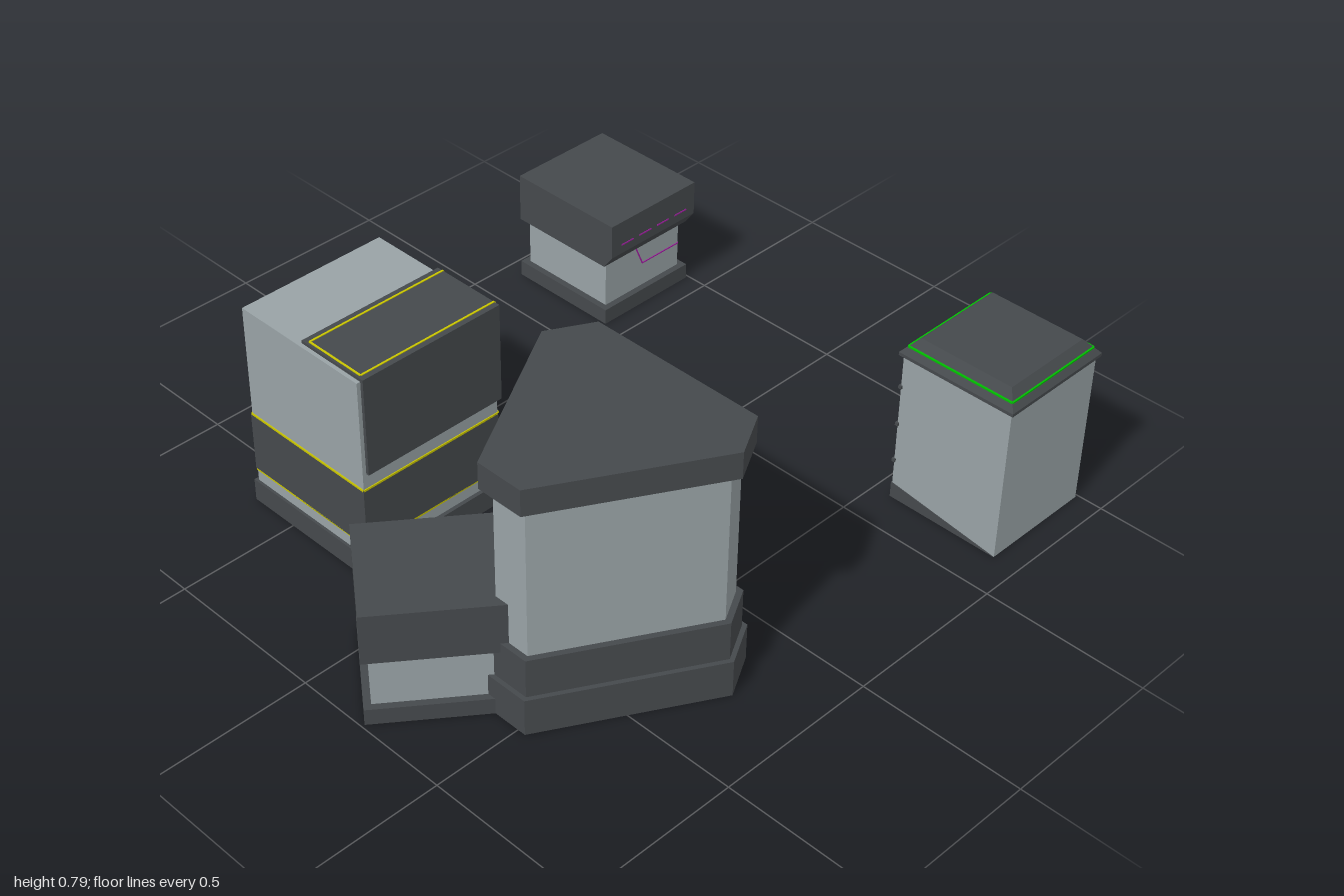
import * as THREE from 'three';

const LIGHT = 0x98a2a5, DARK = 0x45494c, YELLOW = 0xc8c400, CYAN = 0x00b4b4, GREEN = 0x00c000, MAGENTA = 0xa020a0;
const mats = {};
const mat = (c) => (mats[c] ??= new THREE.MeshStandardMaterial({ color: c }));

function add(group, name, geometry, color) {
  const mesh = new THREE.Mesh(geometry, mat(color));
  mesh.name = name;
  group.add(mesh);
  return mesh;
}

// Box given by its limits
function block(group, name, [x0, x1], [y0, y1], [z0, z1], color) {
  const mesh = add(group, name, new THREE.BoxGeometry(x1 - x0, y1 - y0, z1 - z0), color);
  mesh.position.set((x0 + x1) / 2, (y0 + y1) / 2, (z0 + z1) / 2);
  return mesh;
}

// Upright prism over a plan outline of [x, z] points
function prism(group, name, plan, y0, y1, color) {
  const shape = new THREE.Shape(plan.map(([x, z]) => new THREE.Vector2(x, -z)));
  const geo = new THREE.ExtrudeGeometry(shape, { depth: y1 - y0, bevelEnabled: false });
  geo.rotateX(-Math.PI / 2).translate(0, y0, 0);
  return add(group, name, geo, color);
}

// Prism with an [x, y] outline, running from z0 to z1
function slab(group, name, outline, z0, z1, color) {
  const shape = new THREE.Shape(outline.map(([x, y]) => new THREE.Vector2(x, y)));
  const geo = new THREE.ExtrudeGeometry(shape, { depth: z1 - z0, bevelEnabled: false });
  geo.translate(0, 0, z0);
  return add(group, name, geo, color);
}

// Thin glowing strip along a path
function strip(group, name, path, color, w = 0.006) {
  for (let i = 1; i < path.length; i++) {
    const a = new THREE.Vector3(...path[i - 1]), b = new THREE.Vector3(...path[i]);
    const mesh = add(group, name, new THREE.BoxGeometry(w, w, a.distanceTo(b)), color);
    mesh.position.lerpVectors(a, b, 0.5);
    mesh.lookAt(b);
  }
}

// Moves every edge of a plan outline inwards by d
function inset(plan, d) {
  const n = plan.length;
  const normal = (i) => {
    const [a, b] = [plan[i % n], plan[(i + 1) % n]];
    const l = Math.hypot(b[0] - a[0], b[1] - a[1]);
    return [(a[1] - b[1]) / l, (b[0] - a[0]) / l];
  };
  return plan.map(([x, z], i) => {
    const p = normal(i + n - 1), q = normal(i);
    const k = d / (1 + p[0] * q[0] + p[1] * q[1]);
    return [x + k * (p[0] + q[0]), z + k * (p[1] + q[1])];
  });
}

// Box building with a banded wall and a wrapped roof panel
function bandedBuilding() {
  const g = new THREE.Group();
  g.name = 'bandedBuilding';
  const xs = [-0.65, -0.19], zs = [0.15, 0.622];
  block(g, 'base', [-0.66, -0.178], [0, 0.07], [0.14, 0.63], DARK);
  block(g, 'body', xs, [0, 0.648], zs, LIGHT);
  block(g, 'roofPanel', [-0.42, -0.18], [0.35, 0.657], [0.142, 0.61], DARK);
  const e = 0.003, band = [0.11, 0.3];
  block(g, 'frontBand', [xs[0] - e, xs[1] + e], band, [zs[1], zs[1] + e], DARK);
  block(g, 'rightBand', [xs[0] - e, xs[0]], band, zs, DARK);
  block(g, 'leftBand', [xs[1], xs[1] + e], band, zs, DARK);
  // stepped band on the back
  const upper = [[-0.19, 0.3], [-0.31, 0.3], [-0.35, 0.22], [-0.48, 0.22], [-0.52, 0.3], [-0.65, 0.3]];
  const lower = [[-0.65, 0.11], [-0.48, 0.165], [-0.36, 0.165], [-0.19, 0.11]];
  slab(g, 'backBand', [...upper, ...lower], zs[0] - e, zs[0], DARK);
  for (const edge of [upper, lower]) strip(g, 'backTrim', edge.map(([x, y]) => [x, y, zs[0] - e]), YELLOW);
  for (const y of band) {
    strip(g, 'bandTrim', [[xs[0], y, zs[0]], [xs[0], y, zs[1]], [xs[1], y, zs[1]], [xs[1], y, zs[0]]], YELLOW);
  }
  strip(g, 'panelTrim', [[-0.4, 0.39, 0.142], [-0.4, 0.656, 0.142], [-0.4, 0.656, 0.6],
    [-0.2, 0.656, 0.6], [-0.2, 0.656, 0.142], [-0.2, 0.37, 0.142], [-0.37, 0.37, 0.142], [-0.4, 0.39, 0.142]], YELLOW);
  return g;
}

// Tower on a triangle with cut corners
function cornerTower() {
  const g = new THREE.Group();
  g.name = 'cornerTower';
  const plan = [[0.18, 0.135], [0.72, 0.135], [0.79, 0.26], [0.525, 0.73], [0.38, 0.73], [0.11, 0.265]];
  prism(g, 'lowerBase', plan, 0, 0.115, DARK);
  prism(g, 'upperBase', inset(plan, 0.013), 0.115, 0.235, DARK);
  prism(g, 'body', inset(plan, 0.03), 0.235, 0.705, LIGHT);
  prism(g, 'cap', plan, 0.705, 0.785, DARK);
  // circuit lines on the back, with one turning the corner
  const z = 0.163;
  strip(g, 'circuitLine', [[0.33, 0.66, z], [0.33, 0.47, z], [0.49, 0.38, z], [0.49, 0.28, z]], CYAN);
  strip(g, 'circuitLine', [[0.33, 0.47, z], [0.21, 0.36, z]], CYAN);
  strip(g, 'circuitLine', [[0.3, 0.33, z], [0.2, 0.33, z], [0.16, 0.33, 0.235]], CYAN);
  strip(g, 'circuitLine', [[0.14, 0.44, 0.268], [0.2, 0.44, 0.368]], CYAN);
  return g;
}

// Low building whose cap overhangs on its +x side
function lowBuilding(name, x, z, turn) {
  const g = new THREE.Group();
  g.name = name;
  const d = 0.175;
  block(g, 'base', [-0.197, 0.172], [0, 0.05], [-d, d], DARK);
  block(g, 'body', [-0.177, 0.152], [0.05, 0.21], [-d + 0.02, d - 0.02], LIGHT);
  slab(g, 'cap', [[-0.197, 0.205], [0.165, 0.205], [0.197, 0.25], [0.197, 0.36], [-0.197, 0.36]], -d, d, DARK);
  // dashed lines on the overhanging side
  for (let i = 0; i < 4; i++) {
    const z0 = -0.14 + i * 0.075;
    strip(g, 'dash', [[0.197, 0.28, z0], [0.197, 0.28, z0 + 0.05]], MAGENTA, 0.004);
  }
  strip(g, 'sideLine', [[0.1, 0.13, -d + 0.02], [0.152, 0.13, -d + 0.02], [0.152, 0.13, 0], [0.152, 0.2, 0.03]], MAGENTA, 0.004);
  g.position.set(x, 0, z);
  g.rotation.y = turn;
  return g;
}

// Kiosk with a hipped roof and a barred window wall
function kiosk() {
  const g = new THREE.Group();
  g.name = 'kiosk';
  const h = 0.18;
  block(g, 'body', [-h, h], [0, 0.49], [-h, h], LIGHT);
  slab(g, 'wedgeBase', [[-h - 0.003, 0], [h, 0], [-h - 0.003, 0.05]], -h - 0.004, h + 0.002, DARK);
  block(g, 'eaves', [-0.19, 0.19], [0.485, 0.495], [-0.19, 0.19], DARK);
  const roof = new THREE.CylinderGeometry(0.15 * Math.SQRT2, 0.19 * Math.SQRT2, 0.045, 4).toNonIndexed();
  roof.rotateY(Math.PI / 4).translate(0, 0.5175, 0);
  roof.computeVertexNormals();
  add(g, 'roof', roof, DARK);
  const r = 0.173;
  strip(g, 'roofTrim', [[-r, 0.514, -r], [r, 0.514, -r], [r, 0.514, r], [-r, 0.514, r], [-r, 0.514, -r]], GREEN, 0.005);
  // window bars on the right wall
  for (const y of [0.13, 0.255, 0.38]) strip(g, 'crossBar', [[-h, y, -h - 0.006], [-h, y, h + 0.006]], DARK, 0.01);
  for (const z of [-0.09, 0, 0.09]) strip(g, 'uprightBar', [[-h, 0.04, z], [-h, 0.485, z]], DARK, 0.01);
  g.position.set(0.74, 0, -0.81);
  return g;
}

export function createModel() {
  const model = new THREE.Group();
  model.name = 'buildings';
  model.add(bandedBuilding(), cornerTower(), kiosk(),
    lowBuilding('frontLowBuilding', 0.2, 0.728, 0.92),
    lowBuilding('backLowBuilding', -0.742, -0.815, 0));
  return model;
}
